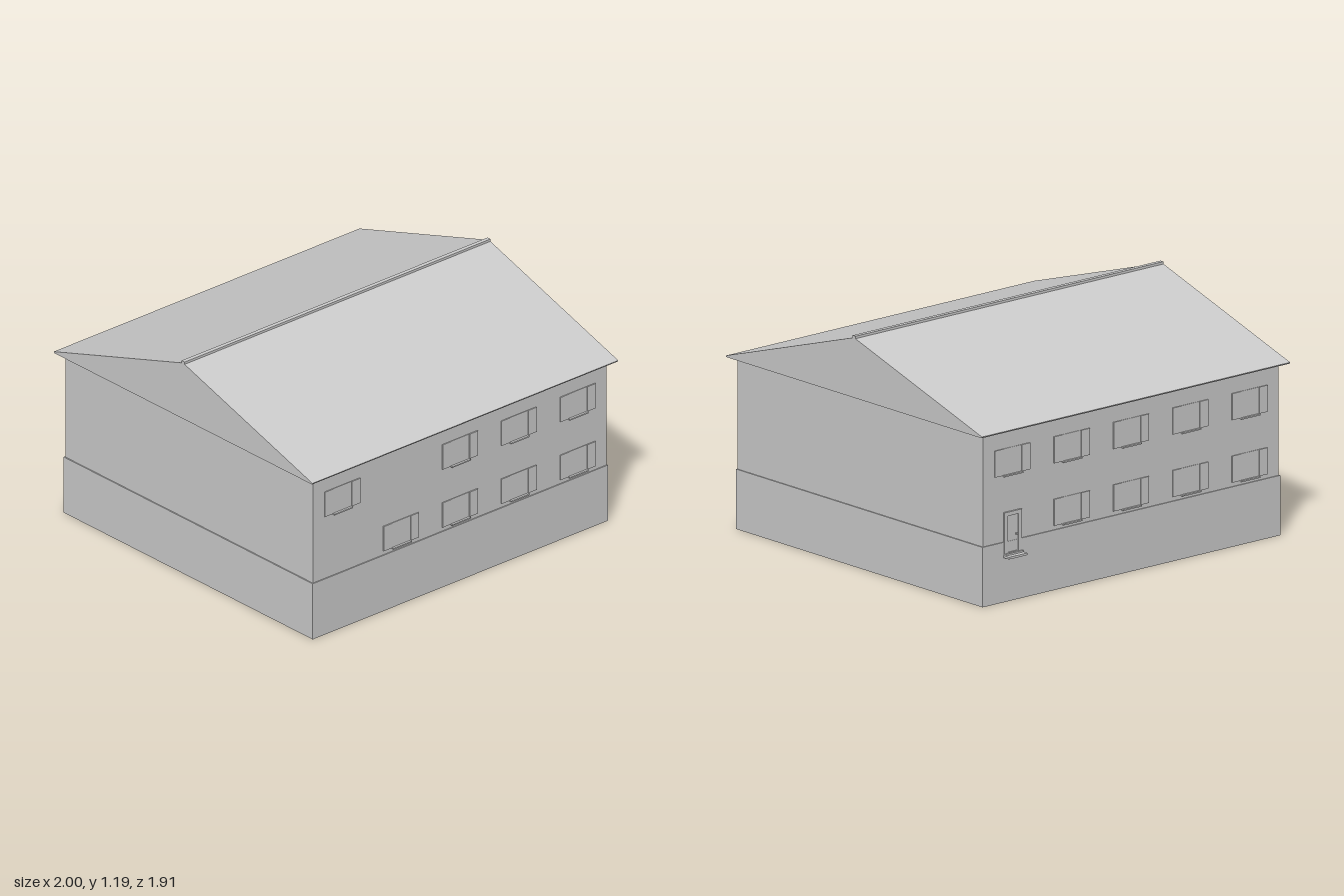
import * as THREE from 'three';

const gray = new THREE.MeshStandardMaterial({ color: 0xcccccc });
gray.name = 'plain gray';

function box(parent, name, w, h, d, x, y, z) {
  const mesh = new THREE.Mesh(new THREE.BoxGeometry(w, h, d), gray);
  mesh.name = name;
  mesh.position.set(x, y, z);
  parent.add(mesh);
  return mesh;
}

// Pane, two shutters and a sill; origin at the wall face, bottom centre
function makeWindow(x, y) {
  const g = new THREE.Group();
  g.name = 'window';
  box(g, 'pane', 0.12, 0.135, 0.004, 0, 0.07, 0.001);
  for (const s of [-1, 1]) box(g, 'shutter', 0.054, 0.135, 0.007, s * 0.088, 0.07, 0.0025);
  box(g, 'sill', 0.12, 0.007, 0.018, 0, 0, 0.006);
  g.position.set(x, y, 0);
  return g;
}

// Framed door with handle and two shallow steps
function makeDoor(x) {
  const g = new THREE.Group();
  g.name = 'door';
  const outline = new THREE.Shape([[-0.056, 0.24], [0.056, 0.24], [0.056, 0.455], [-0.056, 0.455]]
    .map(p => new THREE.Vector2(...p)));
  outline.holes.push(new THREE.Path([[-0.034, 0.25], [-0.034, 0.435], [0.034, 0.435], [0.034, 0.25]]
    .map(p => new THREE.Vector2(...p))));
  const frame = new THREE.Mesh(new THREE.ExtrudeGeometry(outline, { depth: 0.01, bevelEnabled: false }), gray);
  frame.name = 'doorFrame';
  g.add(frame);
  box(g, 'doorLeaf', 0.07, 0.19, 0.004, 0, 0.342, 0.002);
  box(g, 'doorHandle', 0.008, 0.008, 0.012, 0.024, 0.335, 0.006);
  box(g, 'upperStep', 0.115, 0.02, 0.021, 0, 0.236, 0.0095);
  box(g, 'lowerStep', 0.12, 0.011, 0.047, 0, 0.232, 0.0225);
  g.position.x = x;
  return g;
}

export function createModel() {
  const house = new THREE.Group();
  house.name = 'house';
  const cz = 0.002, face = 0.911;

  // Plinth and walls
  box(house, 'plinth', 1.932, 0.305, 1.833, 0, 0.1525, cz);
  box(house, 'walls', 1.92, 0.58, face * 2, 0, 0.59, cz);

  // Gabled roof with thin eaves
  const profile = new THREE.Shape([[-0.949, 0.874], [0.949, 0.874], [0.952, 0.881], [0, 1.18], [-0.952, 0.881]]
    .map(p => new THREE.Vector2(...p)));
  const roofGeometry = new THREE.ExtrudeGeometry(profile, { depth: 2, bevelEnabled: false });
  roofGeometry.translate(0, 0, -1).rotateY(Math.PI / 2);
  const roof = new THREE.Mesh(roofGeometry, gray);
  roof.name = 'roof';
  roof.position.z = cz + 0.001;
  house.add(roof);
  box(house, 'ridgeCap', 2, 0.018, 0.022, 0, 1.18, cz + 0.001);

  // Front windows
  const front = new THREE.Group();
  front.name = 'frontOpenings';
  front.position.z = cz + face;
  for (const x of [-0.77, 0, 0.385, 0.77]) front.add(makeWindow(x, 0.642));
  for (const x of [-0.385, 0, 0.385, 0.77]) front.add(makeWindow(x, 0.324));
  house.add(front);

  // Back windows and door, turned to face the rear
  const back = new THREE.Group();
  back.name = 'backOpenings';
  back.position.z = cz - face;
  back.rotation.y = Math.PI;
  for (const x of [-0.77, -0.385, 0, 0.385, 0.77]) {
    back.add(makeWindow(x, 0.642));
    back.add(x === -0.77 ? makeDoor(x) : makeWindow(x, 0.324));
  }
  house.add(back);
  return house;
}
